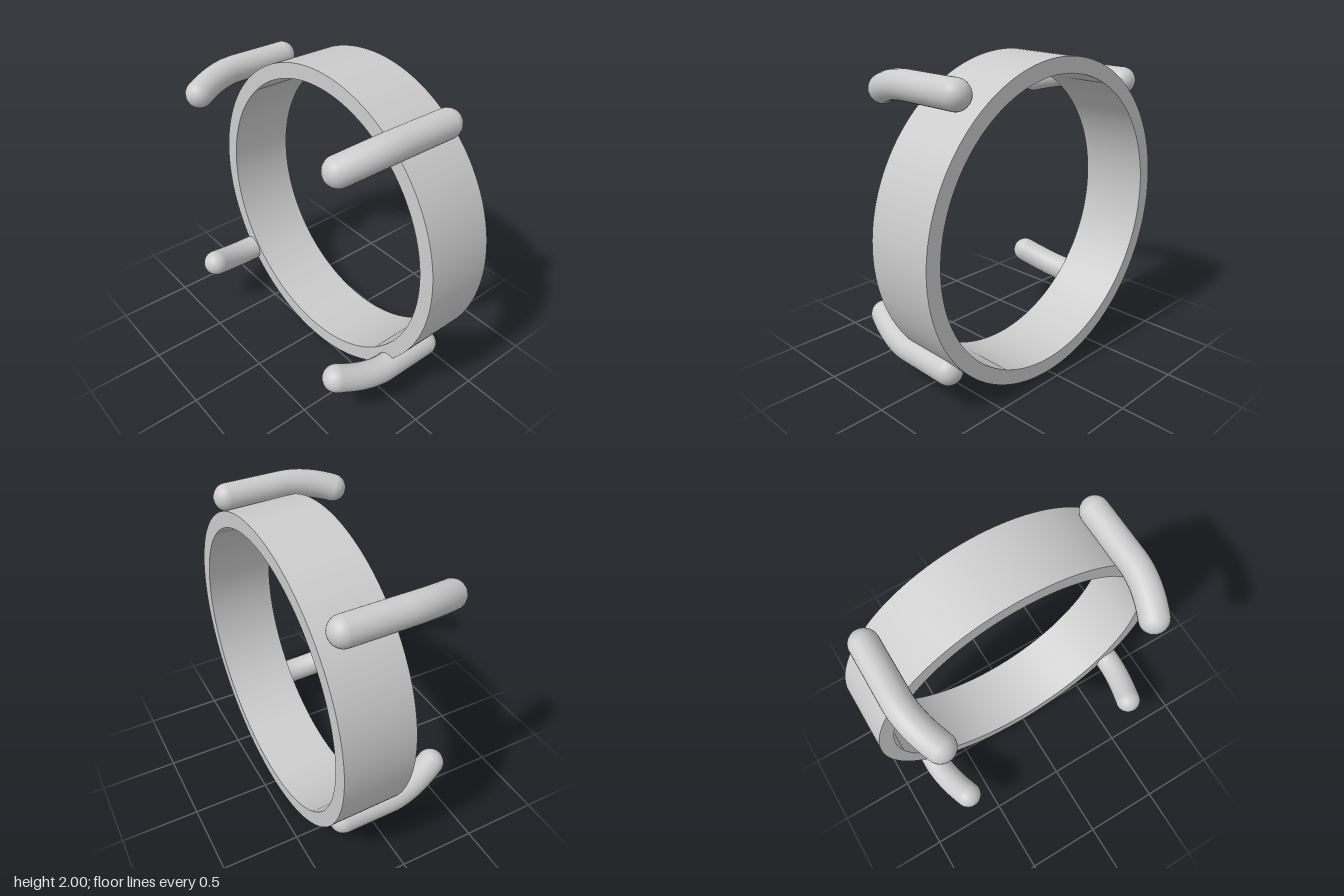
import * as THREE from 'three';
import { toCreasedNormals } from 'three/addons/utils/BufferGeometryUtils.js';

const material = new THREE.MeshStandardMaterial({ color: 0xcccccc });
const PRONG_RADIUS = 0.087;

// Flat-edged band, slightly tilted back at the top
function createBand() {
  const depth = 0.445;
  const shape = new THREE.Shape().absarc(0, 0, 0.995, 0, Math.PI * 2);
  shape.holes.push(new THREE.Path().absarc(0, 0, 0.9, 0, Math.PI * 2, true));
  const geometry = new THREE.ExtrudeGeometry(shape, { depth, bevelEnabled: false, curveSegments: 96 });
  geometry.translate(0, 0, -depth / 2);
  const band = new THREE.Mesh(toCreasedNormals(geometry, Math.PI / 6), material);
  band.name = 'band';
  band.position.set(-0.002, 1.002, -0.222);
  band.rotation.set(-0.021, 0.006, 0);
  return band;
}

// Rounded rod: straight along the band, then bending inward at the front
function createProng(name, [x, y, back], [tipX, tipY, tipZ]) {
  const start = new THREE.Vector3(x, y - 0.004, back);
  const bend = new THREE.Vector3(x, y, 0.03);
  const control = new THREE.Vector3(x, y, 0.18);
  const tip = new THREE.Vector3(tipX, tipY, tipZ);
  const path = new THREE.CurvePath();
  path.add(new THREE.LineCurve3(start, bend));
  path.add(new THREE.QuadraticBezierCurve3(bend, control, tip));

  const prong = new THREE.Group();
  prong.name = name;
  const rod = new THREE.Mesh(new THREE.TubeGeometry(path, 32, PRONG_RADIUS, 24), material);
  rod.name = 'rod';
  prong.add(rod);
  for (const [capName, point] of [['backCap', start], ['tipCap', tip]]) {
    const cap = new THREE.Mesh(new THREE.SphereGeometry(PRONG_RADIUS, 24, 16), material);
    cap.name = capName;
    cap.position.copy(point);
    prong.add(cap);
  }
  return prong;
}

export function createModel() {
  const model = new THREE.Group();
  model.name = 'prongRing';
  model.add(
    createBand(),
    createProng('upperLeftProng', [0.674, 1.857, -0.34], [0.606, 1.797, 0.35]),
    createProng('upperRightProng', [-0.774, 1.768, -0.33], [-0.697, 1.717, 0.355]),
    createProng('lowerLeftProng', [0.735, 0.288, -0.3], [0.665, 0.368, 0.38]),
    createProng('lowerRightProng', [-0.735, 0.328, -0.29], [-0.662, 0.413, 0.385]),
  );
  return model;
}
